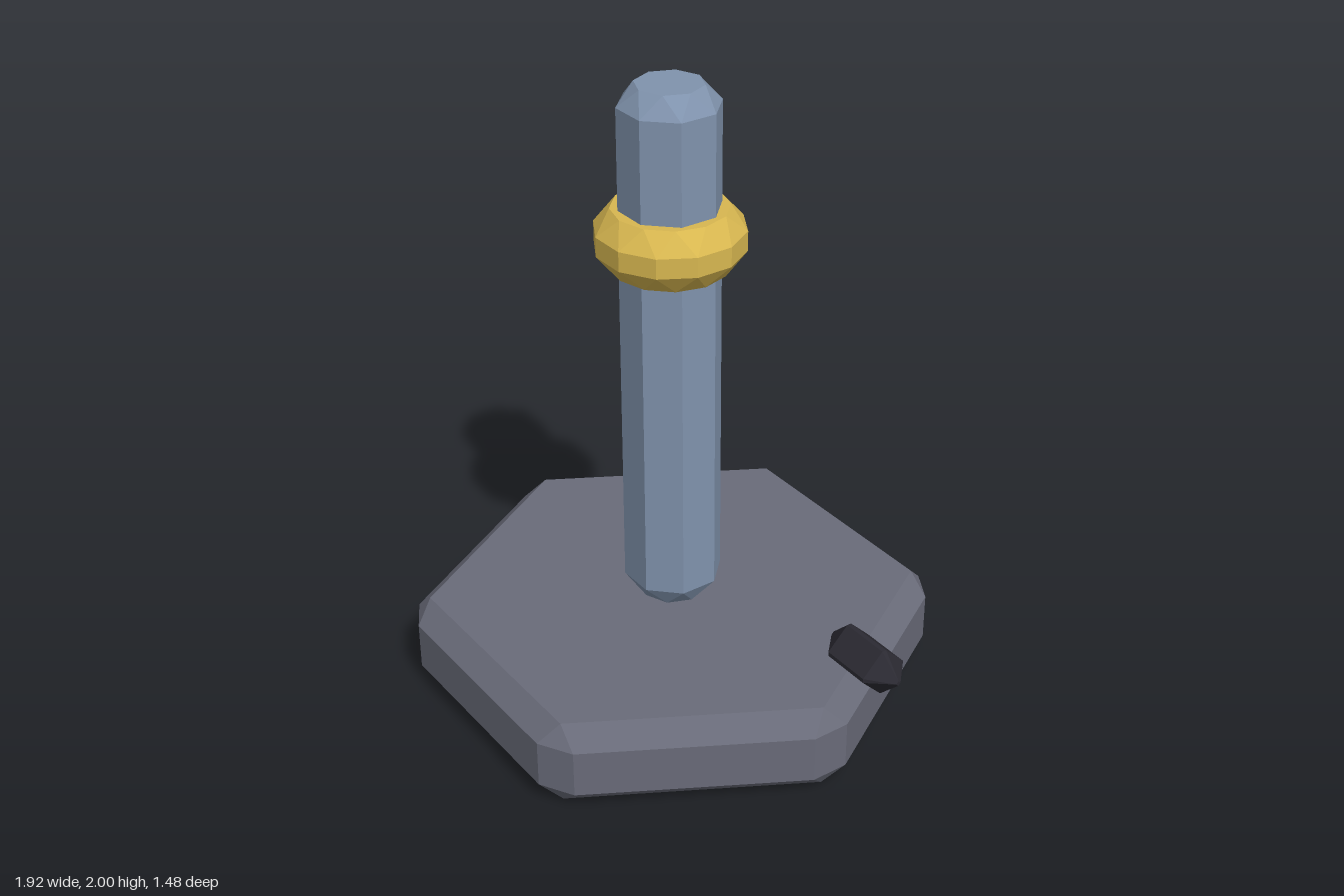
import * as THREE from 'three';
import { ConvexGeometry } from 'three/addons/geometries/ConvexGeometry.js';

const AXIS_X = -0.14; // shared centre line of base, pole and collar

// Regular ring of n corners at height y; a non-zero chamfer angle splits each corner in two.
function ring(y, radius, n, offset = 0, chamfer = 0) {
  const points = [];
  for (let i = 0; i < n; i++) {
    const a = offset + (i / n) * Math.PI * 2;
    for (const d of chamfer ? [-chamfer, chamfer] : [0]) {
      points.push(new THREE.Vector3(Math.cos(a + d) * radius, y, Math.sin(a + d) * radius));
    }
  }
  return points;
}

function material(name, color) {
  const m = new THREE.MeshStandardMaterial({ color });
  m.name = name;
  return m;
}

// Faceted solid wrapped around a stack of rings.
function solid(name, mat, ...rings) {
  const mesh = new THREE.Mesh(new ConvexGeometry(rings.flat()), mat);
  mesh.name = name;
  return mesh;
}

export function createModel() {
  const stone = material('slate grey', 0x696b79);
  const steel = material('steel blue', 0x8093ad);
  const gold = material('gold', 0xd8b750);
  const black = material('near black', 0x2b2a32);

  const model = new THREE.Group();
  model.name = 'post';

  // Hexagonal foot with bevelled rims and clipped corners
  const clip = 0.073;
  const base = solid('base', stone,
    ring(0, 0.78, 6),
    ring(0.065, 0.822, 6, 0, clip),
    ring(0.22, 0.822, 6, 0, clip),
    ring(0.285, 0.78, 6));
  base.position.x = AXIS_X;

  // Octagonal pole, tapered at both ends
  const pole = solid('pole', steel,
    ring(0.285, 0.104, 8),
    ring(0.355, 0.156, 8, Math.PI / 8),
    ring(1.938, 0.156, 8, Math.PI / 8),
    ring(2, 0.104, 8));
  pole.position.x = AXIS_X;

  // Twelve-sided collar near the top
  const collar = solid('collar', gold,
    ring(1.43, 0.178, 12),
    ring(1.495, 0.23, 12, Math.PI / 12),
    ring(1.558, 0.23, 12, Math.PI / 12),
    ring(1.622, 0.178, 12));
  collar.position.x = AXIS_X;

  // Small free-floating peg lying along x, diamond in section
  const peg = solid('peg', black,
    ring(-0.143, 0.008, 4),
    ring(-0.077, 0.073, 4, 0, 0.09),
    ring(0.077, 0.073, 4, 0, 0.09),
    ring(0.143, 0.008, 4));
  peg.rotation.z = -Math.PI / 2;
  peg.position.set(0.814, 0.574, 0);

  model.add(base, pole, collar, peg);
  return model;
}
